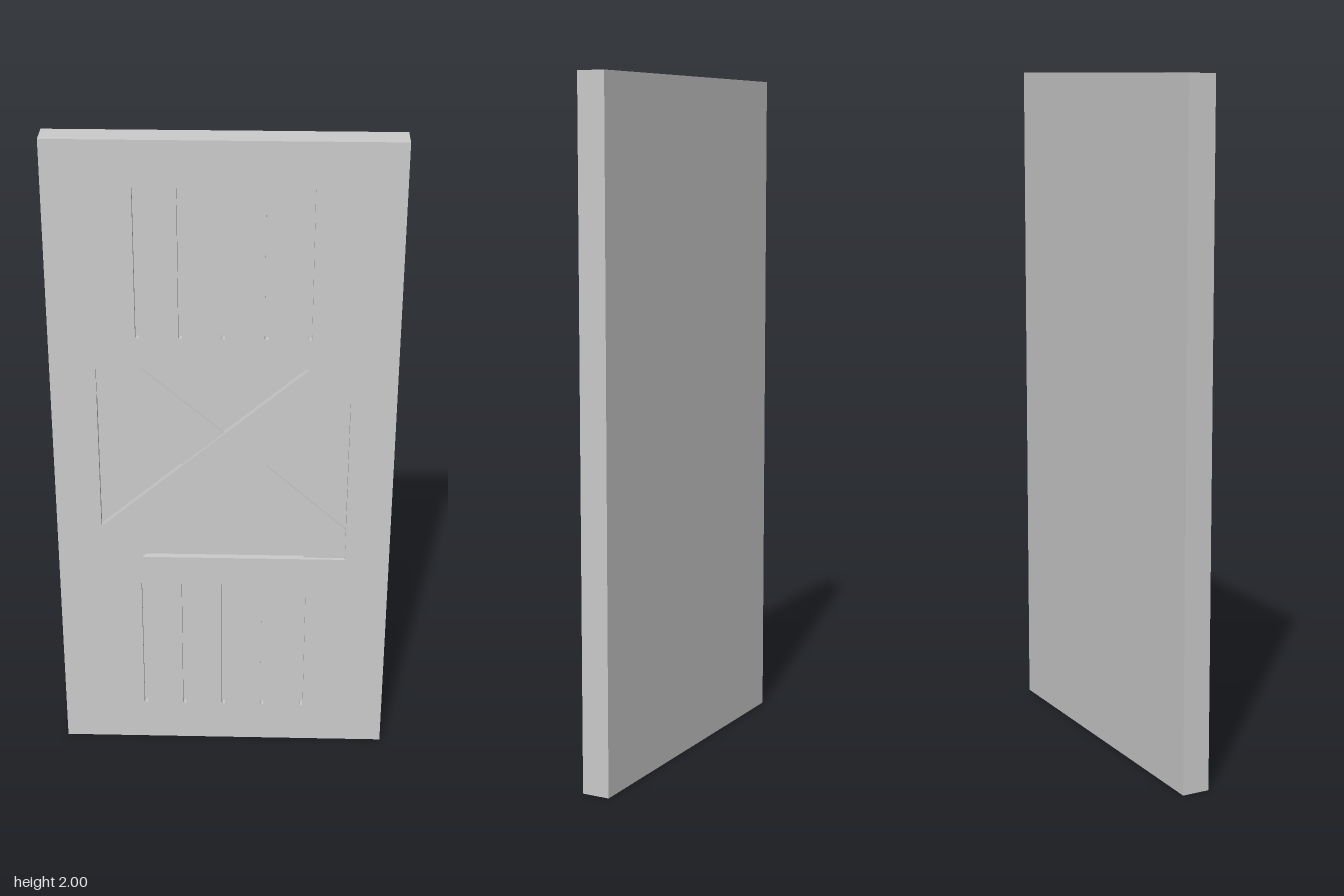
import * as THREE from 'three';

const HALF = 0.0415;   // half the slab thickness
const RECESS = 0.02;   // depth of grooves and triangular panels
const BRACE = 0.01;    // height of the crossing brace above the panel floor

const material = new THREE.MeshStandardMaterial({ color: 0xcccccc, flatShading: true });

// Half-turn about the door centre (0, 1)
const turn = pts => pts.map(([x, y]) => [-x, 2 - y]);
const toVectors = pts => pts.map(([x, y]) => new THREE.Vector2(x, y));

// Slim vertical slot with small rounded ends
function slot(x, y0, y1, r) {
  const path = new THREE.Path();
  path.absarc(x, y1 - r, r, 0, Math.PI, false);
  path.absarc(x, y0 + r, r, Math.PI, 2 * Math.PI, false);
  path.closePath();
  return path;
}

function extrude(name, shape, depth, z) {
  const geometry = new THREE.ExtrudeGeometry(shape, { depth, bevelEnabled: false, curveSegments: 4 });
  geometry.translate(0, 0, z);
  const mesh = new THREE.Mesh(geometry, material);
  mesh.name = name;
  return mesh;
}

export function createModel() {
  const door = new THREE.Group();
  door.name = 'door';
  const floorZ = HALF - RECESS;

  // Solid slab behind the carved face
  const slab = new THREE.Mesh(new THREE.BoxGeometry(1, 2, 2 * HALF - RECESS), material);
  slab.position.set(0, 1, -RECESS / 2);
  slab.name = 'slab';
  door.add(slab);

  // Front face, pierced by grooves and two triangular panels
  const face = new THREE.Shape(toVectors([[-0.5, 0], [0.5, 0], [0.5, 2], [-0.5, 2]]));
  for (let i = -2; i <= 2; i++) {
    const x = i * 0.1225;
    face.holes.push(slot(x, 1.412, 1.868, 0.006), slot(x, 0.132, 0.588, 0.006));
  }
  const panel = [[-0.367, 0.787], [-0.367, 1.32], [0.247, 1.32]];
  for (const pts of [panel, turn(panel)]) face.holes.push(new THREE.Path(toVectors(pts)));
  door.add(extrude('carvedFace', face, RECESS, floorZ));

  // Lower diagonal brace crossing behind the flush one
  const brace = [[-0.367, 1.22], [-0.122, 1.0], [0, 1.106], [-0.247, 1.32], [-0.367, 1.32]];
  door.add(extrude('upperBrace', new THREE.Shape(toVectors(brace)), BRACE, floorZ));
  door.add(extrude('lowerBrace', new THREE.Shape(toVectors(turn(brace))), BRACE, floorZ));

  return door;
}
